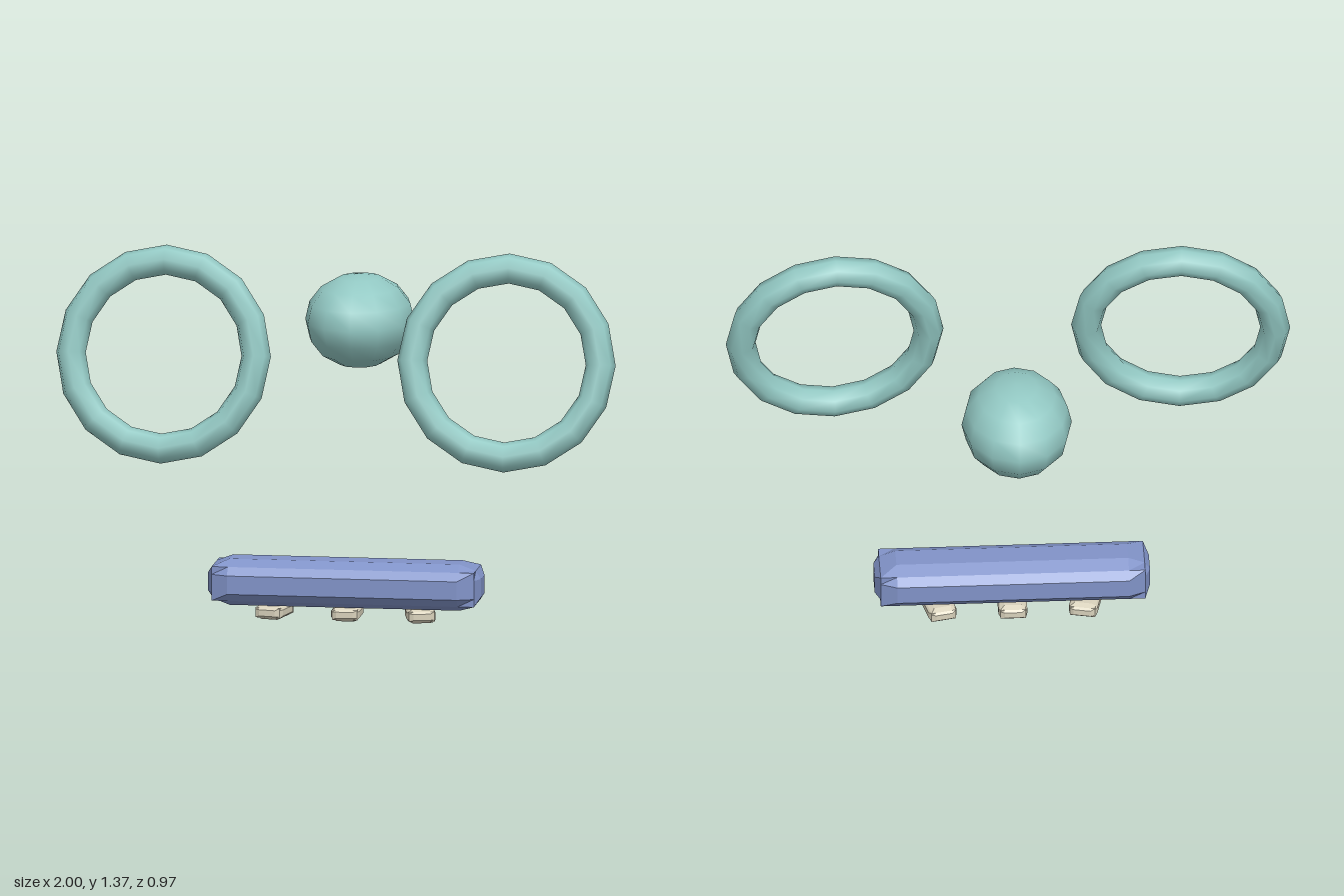
import * as THREE from 'three';

const mat = (name, color, flatShading = false) => {
  const m = new THREE.MeshStandardMaterial({ color, flatShading });
  m.name = name;
  return m;
};

// Box of 3x3x3 cells whose edges and corners are pulled in to bevel it.
// full: half sizes, edge: half sizes along the edges, inner: half sizes of the flat faces
function bevelBox(full, edge, inner) {
  const g = new THREE.BoxGeometry(2, 2, 2, 3, 3, 3);
  const p = g.attributes.position;
  for (let i = 0; i < p.count; i++) {
    const v = [p.getX(i), p.getY(i), p.getZ(i)];
    const outer = v.map(c => Math.abs(c) > 0.9);
    const single = outer.filter(Boolean).length === 1;
    p.setXYZ(i, ...v.map((c, a) => Math.sign(c) * (outer[a] ? (single ? full[a] : edge[a]) : inner[a])));
  }
  g.computeVertexNormals();
  return g;
}

export function createModel() {
  const model = new THREE.Group();
  const teal = mat('teal', 0x93c9c4);
  const blue = mat('blue', 0x8193c8, true);
  const cream = mat('cream', 0xd9d2bc, true);

  const add = (name, geometry, material, x, y, z) => {
    const m = new THREE.Mesh(geometry, material);
    m.name = name;
    m.position.set(x, y, z);
    model.add(m);
    return m;
  };

  // tilted rings, mirrored left and right
  const ring = new THREE.TorusGeometry(0.334, 0.053, 8, 16);
  for (const s of [1, -1]) {
    const r = add(s > 0 ? 'leftRing' : 'rightRing', ring, teal, s * 0.612, 0.99, 0.363);
    r.rotation.set(-0.2, s * 0.06, 0);
  }

  // egg-shaped ball at the back
  add('ball', new THREE.SphereGeometry(1, 12, 8).scale(0.195, 0.167, 0.245), teal, 0, 1.02, -0.245);

  // bevelled bar
  add('bar', bevelBox([0.487, 0.083, 0.115], [0.468, 0.061, 0.09], [0.41, 0.033, 0.043]),
    blue, 0, 0.137, 0.087);

  // three feet, the outer two splayed outwards
  const foot = bevelBox([0.051, 0.026, 0.077], [0.045, 0.018, 0.069], [0.03, 0.011, 0.05]);
  for (const s of [-1, 0, 1]) {
    add(['rightFoot', 'middleFoot', 'leftFoot'][s + 1], foot, cream, s * 0.26, 0.028, 0.062)
      .rotation.y = s * 0.22;
  }
  return model;
}
